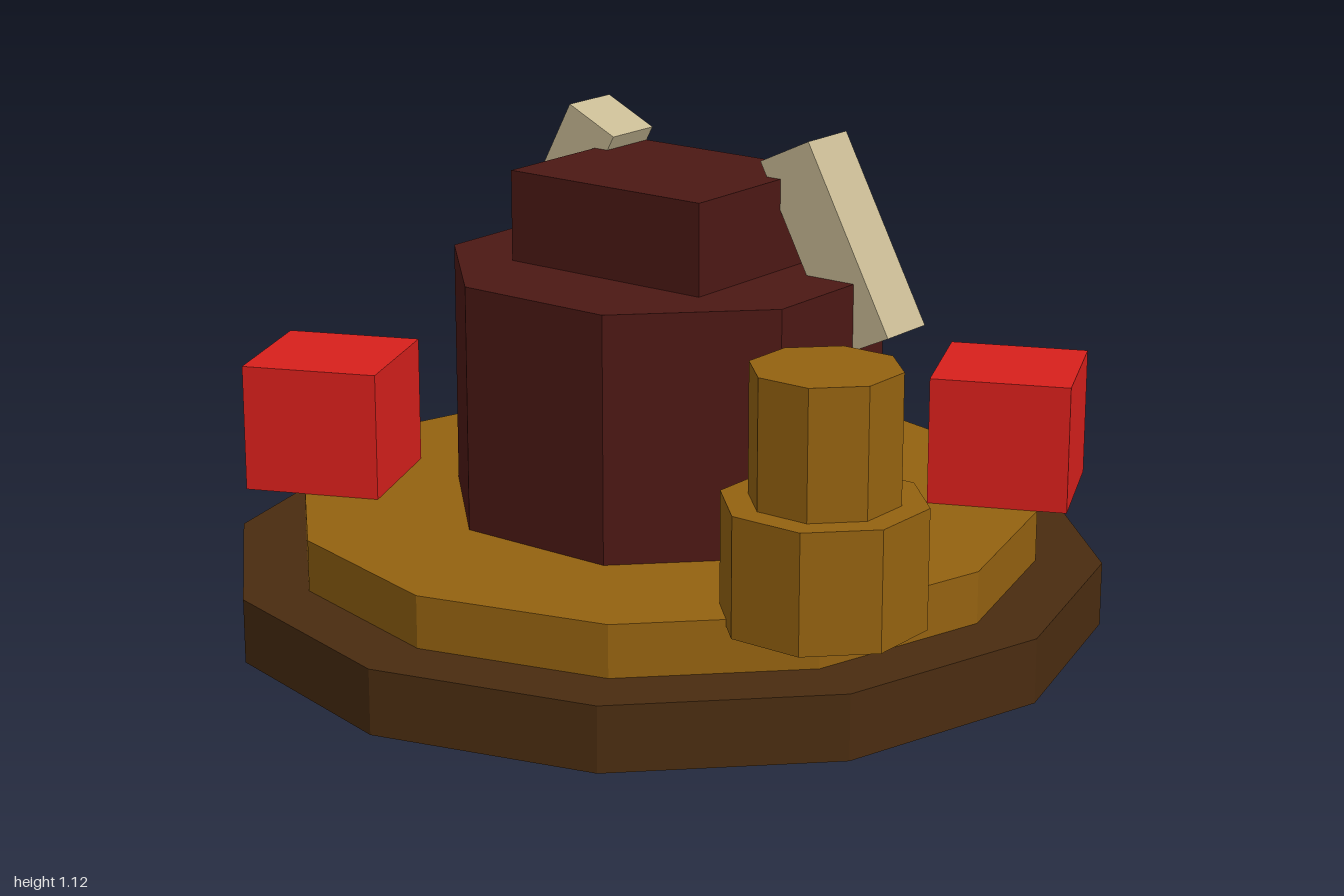
import * as THREE from 'three';

const mat = (color) => new THREE.MeshStandardMaterial({ color, flatShading: true });

export function createModel() {
  const model = new THREE.Group();
  const wood = mat(0x4a2c10), gold = mat(0x946210), maroon = mat(0x4c1814);
  const bone = mat(0xc8ba94), red = mat(0xd8201c), green = mat(0x1e7840);

  const add = (name, geometry, material, x, y, z) => {
    const mesh = new THREE.Mesh(geometry, material);
    mesh.name = name;
    mesh.position.set(x, y, z);
    model.add(mesh);
    return mesh;
  };
  // Upright prism from y0 to y1
  const prism = (name, r, sides, y0, y1, material, x = 0, z = 0, turn = 0) => {
    const mesh = add(name, new THREE.CylinderGeometry(r, r, y1 - y0, sides), material, x, (y0 + y1) / 2, z);
    mesh.rotation.y = turn;
  };

  // Stepped twelve-sided base
  prism('basePlate', 1, 12, 0, 0.147, wood);
  prism('upperPlate', 0.85, 12, 0.147, 0.265, gold);

  // Octagonal body and square head
  prism('body', 0.501, 8, 0.265, 0.823, maroon, 0, 0, Math.PI / 8);
  add('head', new THREE.BoxGeometry(0.527, 0.207, 0.441), maroon, 0, 0.9265, 0);

  // Slanted horns leaning inwards, slightly squashed in height
  for (const side of [-1, 1]) {
    const horn = new THREE.BoxGeometry(0.144, 0.487, 0.145);
    horn.rotateZ(side * 0.466).scale(1, 0.94, 1);
    add(side > 0 ? 'leftHorn' : 'rightHorn', horn, bone, side * 0.382, 0.889, -0.147);
  }

  // Boxes around the rim
  [
    ['redBoxBack', 0.588, -0.53, red],
    ['redBoxFront', -0.707, 0.352, red],
    ['greenBox', -0.53, -0.472, green],
  ].forEach(([name, x, z, material]) => {
    add(name, new THREE.BoxGeometry(0.319, 0.295, 0.319), material, x, 0.4125, z).rotation.y = 0.42;
  });

  // Two-tier octagonal pot
  prism('potBase', 0.22, 8, 0.25, 0.513, gold, 0.733, 0.412, Math.PI / 8);
  prism('potTop', 0.161, 8, 0.513, 0.795, gold, 0.733, 0.412, Math.PI / 8);

  return model;
}
